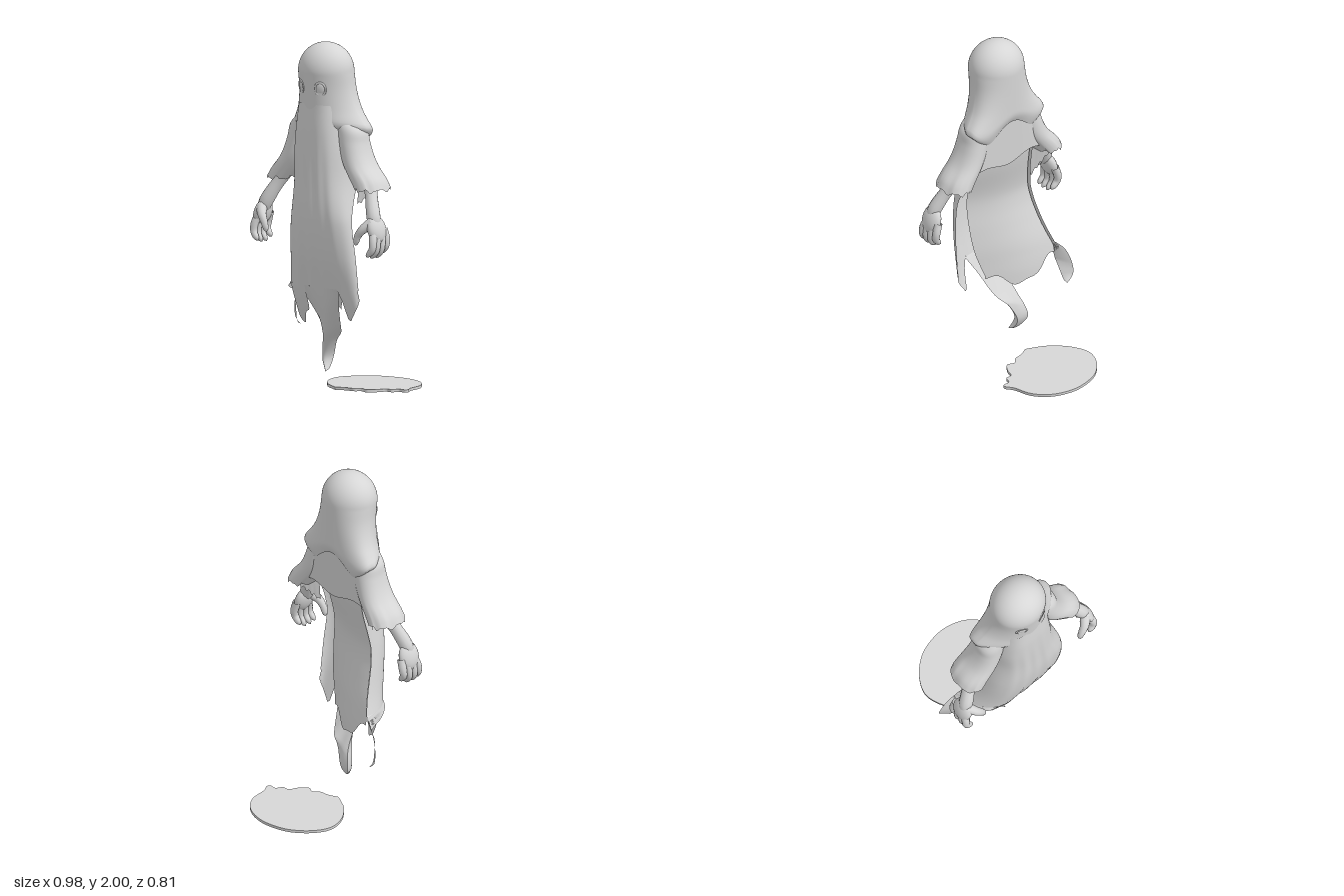
import * as THREE from 'three';
import { mergeVertices } from 'three/addons/utils/BufferGeometryUtils.js';

const V2 = (p) => new THREE.Vector2(p[0], p[1]);

// smooth lookup in a [key descending, value] table
function lut(table, y) {
  const n = table.length - 1;
  if (y >= table[0][0]) return table[0][1];
  if (y <= table[n][0]) return table[n][1];
  const slope = (i) => {
    const a = table[Math.max(0, i - 1)], b = table[Math.min(n, i + 1)];
    return (b[1] - a[1]) / (b[0] - a[0]);
  };
  let i = 1;
  while (y < table[i][0]) i++;
  const [y0, a] = table[i - 1], [y1, b] = table[i], h = y1 - y0, t = (y - y0) / h;
  return a + (b - a) * t * t * (3 - 2 * t) + h * t * (1 - t) * ((1 - t) * slope(i - 1) - t * slope(i));
}

// smooth surface from a function of u (across) and v (along)
function grid(nu, nv, f) {
  const pos = [], idx = [];
  for (let j = 0; j <= nv; j++) {
    for (let i = 0; i <= nu; i++) pos.push(...f(i / nu, j / nv));
  }
  for (let j = 0; j < nv; j++) {
    for (let i = 0; i < nu; i++) {
      const a = j * (nu + 1) + i, b = a + 1, c = a + nu + 1, d = c + 1;
      idx.push(a, c, b, b, c, d);
    }
  }
  let g = new THREE.BufferGeometry();
  g.setAttribute('position', new THREE.Float32BufferAttribute(pos, 3));
  g.setIndex(idx);
  g = mergeVertices(g, 1e-5);
  g.computeVertexNormals();
  return g;
}

// round limb with varying radius and rounded tip
function limb(points, radii) {
  const curve = new THREE.CatmullRomCurve3(points.map((p) => new THREE.Vector3(...p)));
  const n = 16, frames = curve.computeFrenetFrames(n, false);
  const rad = radii.map((r, i) => [1 - i / (radii.length - 1), r]);
  return grid(12, n, (u, v) => {
    const k = Math.round(v * n), p = curve.getPointAt(v), a = u * Math.PI * 2;
    const r = lut(rad, 1 - v) * Math.sqrt(Math.max(0, 1 - Math.max(0, (v - 0.8) / 0.2) ** 2));
    p.addScaledVector(frames.normals[k], r * Math.cos(a));
    p.addScaledVector(frames.binormals[k], r * Math.sin(a));
    return [p.x, p.y, p.z];
  });
}

// cloth outline and depth by height
const rightSideX = [[1.66, -0.17], [1.4, -0.2], [1.2, -0.2], [1, -0.225], [0.8, -0.26], [0.7, -0.285], [0.6, -0.32]];
const leftSideX = [[1.66, 0.17], [1.4, 0.2], [1.2, 0.215], [1, 0.25], [0.8, 0.27], [0.6, 0.275]];
const frontZ = [[1.66, 0.38], [1.5, 0.394], [1.2, 0.4], [1, 0.4], [0.8, 0.378], [0.6, 0.33], [0.5, 0.3], [0.4, 0.262], [0.3, 0.22], [0.2, 0.19], [0.12, 0.205]];
const rightSideZ = [[1.66, 0.16], [1.3, 0.16], [1, 0.21], [0.9, 0.2], [0.8, 0.17], [0.6, 0.1], [0.4, 0.07]];
const leftSideZ = [[1.66, 0.16], [1.3, 0.19], [1.1, 0.27], [1, 0.3], [0.8, 0.29], [0.6, 0.27], [0.44, 0.25]];

function drape(x, y) {
  const r = lut(rightSideX, y), l = lut(leftSideX, y), zf = lut(frontZ, y);
  const t = THREE.MathUtils.clamp((2 * x - l - r) / (l - r), -1, 1);
  const side = t < 0 ? lut(rightSideZ, y) : lut(leftSideZ, y);
  const ze = Math.min(side, zf - 0.01);
  const fold = 0.003 * Math.cos(t * 18) * (1 - t * t) * THREE.MathUtils.smoothstep(1.6 - y, 0, 0.4);
  return ze + (zf - ze) * Math.sqrt(1 - Math.abs(t) ** 3.5) + fold;
}

// tattered strip between two edge curves, hung on the drape and bent back across its width
function tatter(from, to, bend) {
  const a = new THREE.SplineCurve(from.map(V2)), b = new THREE.SplineCurve(to.map(V2));
  return grid(14, 28, (u, v) => {
    const p = a.getPoint(v).lerp(b.getPoint(v), u);
    return [p.x, p.y, drape(p.x, p.y) - bend(u) * Math.min(1, v * 2) * Math.sqrt(1 - v ** 3)];
  });
}

export function createModel() {
  const group = new THREE.Group();
  const cloth = new THREE.MeshStandardMaterial({ color: 0xd6d6d6, side: THREE.DoubleSide });
  cloth.name = 'pale grey';
  const add = (geo, name, parent = group) => {
    const m = new THREE.Mesh(geo, cloth);
    m.name = name;
    parent.add(m);
    return m;
  };

  // hood: dome flaring over the shoulders, hem curled under, front running into the robe
  const hoodW = [[1.84, 0.165], [1.75, 0.172], [1.68, 0.188], [1.62, 0.213], [1.57, 0.247], [1.52, 0.283], [1.47, 0.285], [1.4, 0.27]];
  const hoodF = [[1.84, 0.4], [1.7, 0.388], [1.62, 0.382], [1.5, 0.378]];
  add(grid(96, 56, (u, v) => {
    const a = u * Math.PI * 2, c = Math.cos(a), s = Math.sin(a), back = Math.max(0, -s);
    const hem = s > 0 ? 1.48 + 0.03 * s : 1.48 - 0.05 * Math.sin(Math.PI * back ** 2) + 0.05 * back ** 4;
    const y = 2 - (2 - hem) * v * v;
    const dome = y > 1.84 ? Math.sqrt(Math.max(0, 1 - ((y - 1.84) / 0.16) ** 2)) : 1;
    const low = THREE.MathUtils.clamp((1.84 - y) / 0.34, 0, 1);
    const curl = 1 - 0.2 * Math.max(0, (v - 0.93) / 0.07) ** 2;
    const zc = 0.25 - 0.05 * low;
    const dz = s > 0 ? (lut(hoodF, y) - zc) * s ** (1 + 0.45 * low) : -(zc - 0.1) * back ** (1 - 0.5 * low);
    return [lut(hoodW, y) * dome * curl * c, y, zc + dz * dome * curl];
  }), 'hood');

  // faint raised eye sockets and shallow eyeballs
  for (const s of [-1, 1]) {
    const eye = new THREE.Group();
    eye.name = s > 0 ? 'leftEye' : 'rightEye';
    eye.position.set(s * 0.073, 1.752, 0.372);
    eye.rotation.set(0.13, s * 0.42, 0);
    eye.scale.set(1, 1.2, 1);
    add(new THREE.TorusGeometry(0.031, 0.006, 8, 32), 'eyeRim', eye);
    add(new THREE.SphereGeometry(0.026, 24, 12), 'eyeball', eye).scale.z = 0.25;
    group.add(eye);
  }

  // robe: front sheet wrapping round the sides
  add(grid(64, 60, (u, v) => {
    const y = 1.66 - 1.04 * v, r = lut(rightSideX, y), l = lut(leftSideX, y);
    const x = (l + r) / 2 + (l - r) / 2 * Math.sin((u - 0.5) * Math.PI);
    return [x, y, drape(x, y)];
  }), 'robeFront');

  // rear layer of the robe, gently rounded, set inside the front sheet
  const rearX = [[1.45, 0.19], [1, 0.185], [0.7, 0.16], [0.5, 0.1]];
  const rearZ = [[1.45, 0.2], [1.2, 0.25], [1, 0.295], [0.8, 0.28], [0.6, 0.25], [0.5, 0.23]];
  add(grid(32, 40, (u, v) => {
    const hem = 0.56 - 0.1 * Math.sin(u * Math.PI) ** 2 - 0.06 * u + 0.012 * Math.sin(u * 17);
    const y = 1.45 + (hem - 1.45) * v, r = lut(rightSideX, y) + 0.012, l = lut(rearX, y);
    const z0 = lut(rightSideZ, y) + 0.01, z1 = lut(rearZ, y);
    return [r + (l - r) * u, y, z0 + (z1 - z0) * u - 0.025 * Math.sin(u * Math.PI)];
  }), 'robeRear');

  // ragged tails of the robe
  add(tatter([[-0.314, 0.62], [-0.38, 0.55], [-0.42, 0.45], [-0.42, 0.38], [-0.38, 0.34]],
    [[-0.2, 0.62], [-0.3, 0.57], [-0.345, 0.48], [-0.365, 0.4], [-0.375, 0.34]], (u) => -0.06 * u), 'rightTail');
  add(tatter([[-0.225, 0.62], [-0.21, 0.5], [-0.2, 0.42], [-0.17, 0.39]],
    [[-0.09, 0.62], [-0.09, 0.49], [-0.12, 0.46], [-0.155, 0.395]], () => 0), 'smallTail');
  const middle = [
    [[-0.13, 0.62], [-0.08, 0.46], [-0.09, 0.35], [-0.125, 0.23], [-0.115, 0.17], [-0.055, 0.12]],
    [[0.17, 0.62], [0.12, 0.52], [0.06, 0.38], [-0.01, 0.3], [-0.055, 0.2], [-0.05, 0.12]],
  ];
  add(tatter(...middle, (u) => 0.08 * (2 * u - 1) ** 2), 'middleTailFront');
  add(tatter(...middle, () => 0.08), 'middleTailBack');
  add(tatter([[0.16, 0.62], [0.185, 0.55], [0.2, 0.45]],
    [[0.274, 0.62], [0.27, 0.53], [0.215, 0.44]], () => 0), 'leftTail');

  // back of the cape between the sleeves
  add(grid(32, 12, (u, v) => {
    const k = 2 * u - 1, hem = 1.27 + 0.02 * Math.sin(u * 9) - 0.02 * k * k;
    return [k * (0.2 + 0.06 * v), 1.53 + (hem - 1.53) * v, 0.128 + 0.008 * v + 0.02 * k ** 4];
  }), 'capeBack');

  // sleeves, forearms and hands
  const inner = [[1.58, 0.06], [1.45, 0.12], [1.35, 0.155], [1.27, 0.205], [1.2, 0.265]];
  const outer = [[1.58, 0.2], [1.52, 0.26], [1.45, 0.277], [1.38, 0.302], [1.32, 0.337], [1.25, 0.4], [1.2, 0.425]];
  for (const s of [-1, 1]) {
    const arm = new THREE.Group();
    arm.name = s > 0 ? 'leftArm' : 'rightArm';
    group.add(arm);
    const at = (p) => [s * p[0], p[1], p[2]];

    add(grid(48, 24, (u, v) => {
      const a = u * Math.PI * 2, c = Math.cos(a), d = Math.sin(a);
      const y = 1.58 - 0.38 * v, i = lut(inner, y), o = lut(outer, y);
      const rag = v ** 6 * (0.008 * Math.sin(a * 7) + 0.006 * Math.sin(a * 13 + 1));
      const rz = 0.085 + 0.027 * v;
      return at([(i + o) / 2 + (o - i) / 2 * c, y + rag, 0.228 + rz * Math.sign(d) * Math.abs(d) ** 0.8]);
    }), 'sleeve', arm);

    // torn cloth hanging behind the sleeve
    const drop = s < 0 ? 1.02 : 1.1;
    add(grid(16, 8, (u, v) => {
      const low = drop + (1.19 - drop) * u + 0.01 * Math.sin(u * 26);
      return at([0.225 + 0.09 * u, 1.25 + (low - 1.25) * v, 0.22 - 0.08 * u + 0.01 * v]);
    }), 'tornLining', arm);

    add(limb([[0.27, 1.34, 0.21], [0.335, 1.22, 0.24], [0.39, 1.12, 0.28], [0.428, 1.04, 0.305], [0.445, 0.98, 0.31]].map(at),
      [0.045, 0.043, 0.036, 0.04, 0.04]), 'forearm', arm);
    const palm = add(new THREE.SphereGeometry(1, 24, 16), 'palm', arm);
    palm.scale.set(0.036, 0.08, 0.066);
    palm.position.set(s * 0.446, 0.992, 0.302);
    palm.rotation.z = s * 0.3;
    [0.243, 0.281, 0.318, 0.35].forEach((z, k) => {
      const dip = [0.02, 0, 0, 0.01][k];
      add(limb([[0.446, 0.99, 0.29 + (z - 0.3) * 0.75], [0.464, 0.93, z], [0.463, 0.872 + dip, z + 0.006], [0.424, 0.828 + dip, z + 0.012]].map(at),
        [0.024, 0.023, 0.02, 0.015]), 'finger', arm);
    });
    add(limb([[0.432, 1.03, 0.325], [0.395, 0.99, 0.362], [0.366, 0.95, 0.372], [0.348, 0.895, 0.372]].map(at),
      [0.032, 0.026, 0.02, 0.015]), 'thumb', arm);
  }

  // flat ground patch with a ragged edge
  const rim = [[-0.08, 0.098], [-0.13, 0.075], [-0.2, 0.035], [-0.28, -0.05], [-0.32, -0.15], [-0.305, -0.23],
    [-0.25, -0.31], [-0.16, -0.375], [-0.03, -0.405], [0.08, -0.39], [0.165, -0.345], [0.225, -0.27], [0.25, -0.17],
    [0.277, -0.125], [0.27, -0.102], [0.23, -0.1], [0.21, -0.06], [0.17, -0.055], [0.15, -0.005], [0.11, 0.043],
    [0.065, 0.03], [0.03, 0.062], [-0.02, 0.07]];
  const start = V2(rim[0]);
  const shape = new THREE.Shape().moveTo(start.x, start.y);
  shape.splineThru(rim.slice(1).concat([rim[0]]).map(V2));
  const patch = new THREE.ExtrudeGeometry(shape, { depth: 0.016, bevelEnabled: false, curveSegments: 5 });
  patch.rotateX(Math.PI / 2).translate(0, 0.016, 0);
  add(patch, 'groundPatch');

  return group;
}
